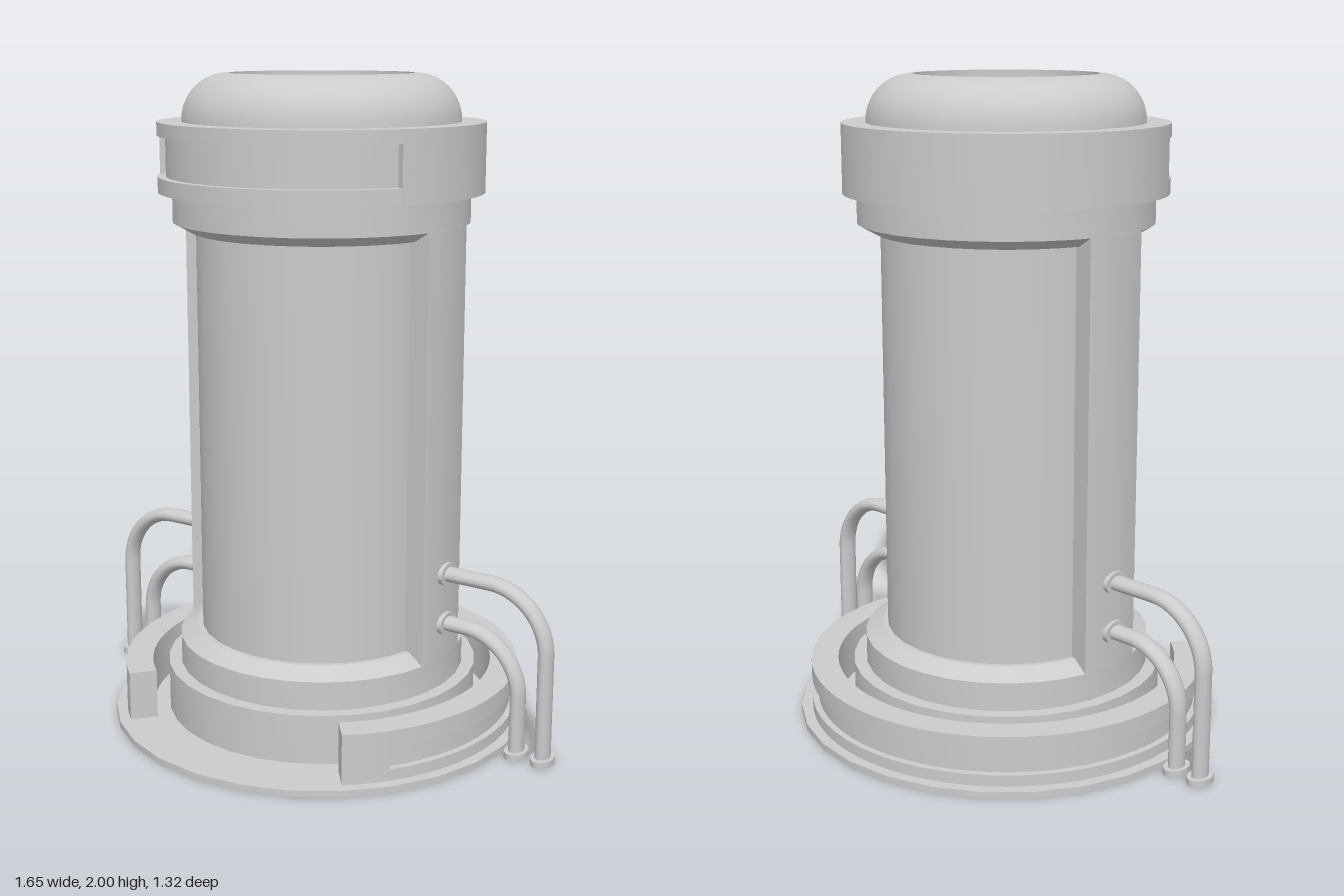
import * as THREE from 'three';
import { toCreasedNormals } from 'three/addons/utils/BufferGeometryUtils.js';

const material = new THREE.MeshStandardMaterial({ color: 0xcccccc });
const SEGMENTS = 32;
const DEG = Math.PI / 180;

function add(parent, name, geometry) {
  const mesh = new THREE.Mesh(geometry, material);
  mesh.name = name;
  parent.add(mesh);
  return mesh;
}

// Solid of revolution from [radius, height] points listed bottom to top
function turned(points, segments = SEGMENTS) {
  const profile = points.map(([r, y]) => new THREE.Vector2(r, y));
  return toCreasedNormals(new THREE.LatheGeometry(profile, segments), 0.5);
}

// Closed ring segment; angles in degrees from +z towards +x
function ringSector(rIn, rOut, y0, y1, from, to) {
  const a = (90 - to) * DEG, b = (90 - from) * DEG;
  const shape = new THREE.Shape();
  shape.absarc(0, 0, rOut, a, b, false);
  shape.absarc(0, 0, rIn, b, a, true);
  const geometry = new THREE.ExtrudeGeometry(shape, {
    depth: y1 - y0, bevelEnabled: false, curveSegments: Math.max(6, Math.round((to - from) / 11)),
  });
  geometry.rotateX(Math.PI / 2).translate(0, y1, 0);
  return toCreasedNormals(geometry, 0.5);
}

// Pipe leaving the wall, bending down to the floor, with a flange at each end
function pipe(name, reach, height, bend) {
  const group = new THREE.Group();
  group.name = name;
  const wall = 0.43, k = 0.552;
  const path = new THREE.CurvePath();
  const v = (x, y) => new THREE.Vector3(x, y, 0);
  path.add(new THREE.LineCurve3(v(wall, height), v(reach - bend, height)));
  path.add(new THREE.CubicBezierCurve3(
    v(reach - bend, height), v(reach - bend + bend * k, height),
    v(reach, height - bend + bend * k), v(reach, height - bend)));
  path.add(new THREE.LineCurve3(v(reach, height - bend), v(reach, 0.005)));
  add(group, 'pipeTube', new THREE.TubeGeometry(path, 48, 0.022, 12, false));
  add(group, 'floorFlange', new THREE.CylinderGeometry(0.034, 0.034, 0.02, 16).translate(reach, 0.01, 0));
  add(group, 'wallFlange', new THREE.CylinderGeometry(0.034, 0.034, 0.03, 16)
    .rotateZ(Math.PI / 2).translate(0.447, height, 0));
  group.scale.z = 1.42; // oval cross-section
  return group;
}

export function createModel() {
  const model = new THREE.Group();
  model.name = 'tank';

  // Base plate and pedestal
  add(model, 'basePlate', turned([[0, 0], [0.66, 0], [0.66, 0.02], [0, 0.02]], 28));
  add(model, 'pedestal', turned([[0.49, 0.02], [0.49, 0.172], [0.4, 0.172]]));

  // Open base ring with a groove around the outside
  const guard = new THREE.Group();
  guard.name = 'baseRing';
  model.add(guard);
  const open = 39, groove = 52;
  add(guard, 'ringCore', ringSector(0.54, 0.605, 0.055, 0.12, groove, 360 - groove));
  add(guard, 'ringLowerBand', ringSector(0.54, 0.625, 0.02, 0.055, groove, 360 - groove));
  add(guard, 'ringUpperBand', ringSector(0.54, 0.625, 0.12, 0.175, groove, 360 - groove));
  add(guard, 'ringLeftEnd', ringSector(0.54, 0.625, 0.02, 0.175, open, groove));
  add(guard, 'ringRightEnd', ringSector(0.54, 0.625, 0.02, 0.175, 360 - groove, 360 - open));

  // Body with bevelled bands at foot and top
  add(model, 'body', turned([
    [0.45, 0.172], [0.45, 0.26], [0.395, 0.29], [0.38, 0.29],
    [0.38, 1.535], [0.395, 1.535], [0.45, 1.565], [0.45, 1.655],
  ]));

  // Raised side panels
  for (const [name, angle] of [['leftPanel', 90], ['rightPanel', 270]]) {
    add(model, name, ringSector(0.36, 0.45, 0.26, 1.565, angle - 14.1, angle + 14.1));
  }

  // Head collar with a sunken window on the front
  const collar = new THREE.Group();
  collar.name = 'headCollar';
  model.add(collar);
  const half = 60.6;
  add(collar, 'collarBack', ringSector(0.4, 0.49, 1.653, 1.86, half, 360 - half));
  add(collar, 'collarLowerBand', ringSector(0.4, 0.49, 1.653, 1.7, -half, half));
  add(collar, 'collarUpperBand', ringSector(0.4, 0.49, 1.82, 1.86, -half, half));
  add(collar, 'collarWindow', ringSector(0.4, 0.465, 1.7, 1.82, -half, half));

  // Rounded cap with a sunken lid
  const dome = [];
  for (let i = 0; i <= 10; i++) {
    const t = (i / 10) * Math.PI / 2;
    dome.push([0.28 + 0.138 * Math.cos(t), 1.86 + 0.14 * Math.sin(t)]);
  }
  add(model, 'cap', turned([...dome, [0.275, 2], [0.275, 1.945], [0, 1.945]]));

  // Two pipes on each side
  for (const side of [1, -1]) {
    const pipes = new THREE.Group();
    pipes.name = side > 0 ? 'leftPipes' : 'rightPipes';
    pipes.add(pipe('outerPipe', 0.79, 0.527, 0.19), pipe('innerPipe', 0.703, 0.37, 0.18));
    if (side < 0) pipes.rotation.y = Math.PI;
    model.add(pipes);
  }
  return model;
}
